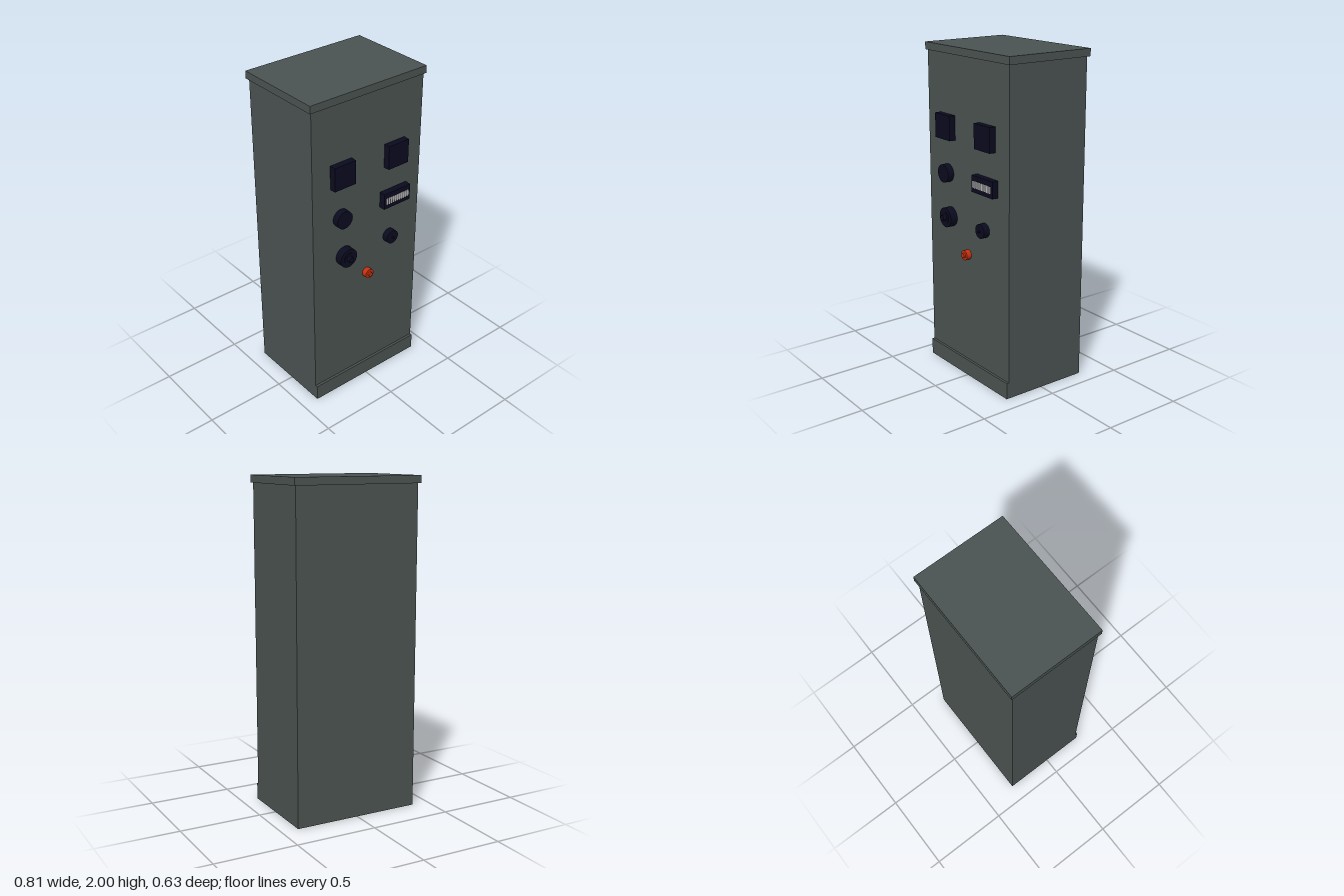
import * as THREE from 'three';

const material = (name, hex) => {
  const m = new THREE.MeshStandardMaterial({ color: hex });
  m.name = name;
  return m;
};

export function createModel() {
  const model = new THREE.Group();
  model.name = 'controlCabinet';
  const grey = material('cabinetGrey', 0x4b5452);
  const navy = material('instrumentNavy', 0x0b0b20);
  const red = material('buttonRed', 0xc9300e);
  const white = material('digitWhite', 0xe6e6e6);
  const FACE = 0.245; // front of the cabinet body

  // Box given by its limits on each axis
  const box = (name, mat, x0, x1, y0, y1, z0, z1) => {
    const mesh = new THREE.Mesh(new THREE.BoxGeometry(x1 - x0, y1 - y0, z1 - z0), mat);
    mesh.position.set((x0 + x1) / 2, (y0 + y1) / 2, (z0 + z1) / 2);
    mesh.name = name;
    model.add(mesh);
  };

  // Disc facing forward
  const disc = (name, mat, x, y, r, z0, z1) => {
    const geo = new THREE.CylinderGeometry(r, r, z1 - z0, 32).rotateX(Math.PI / 2);
    const mesh = new THREE.Mesh(geo, mat);
    mesh.position.set(x, y, (z0 + z1) / 2);
    mesh.name = name;
    model.add(mesh);
  };

  // Cabinet
  box('body', grey, -0.395, 0.395, 0, 1.955, -0.302, FACE);
  box('plinth', grey, -0.395, 0.395, 0, 0.1, FACE, 0.26);
  box('topCap', grey, -0.407, 0.407, 1.955, 2, -0.317, 0.255);

  // Square meters
  for (const x of [-0.196, 0.194]) {
    box('squareMeter', navy, x - 0.074, x + 0.074, 1.455, 1.602, FACE, 0.285);
  }

  // Counter with a row of white digit strips
  box('counterHousing', navy, 0.095, 0.293, 1.2, 1.3, FACE, 0.285);
  for (let i = 0; i < 11; i++) {
    const x = 0.115 + i * 0.0158;
    box('counterDigit', white, x - 0.005, x + 0.005, 1.228, 1.268, 0.285, 0.289);
  }

  // Round dials
  disc('roundMeter', navy, -0.197, 1.246, 0.055, FACE, 0.285);
  disc('largeDial', navy, -0.172, 0.98, 0.06, FACE, 0.291);
  disc('largeDialHub', navy, -0.172, 0.98, 0.035, 0.291, 0.295);
  disc('largeDialKnob', navy, -0.172, 0.98, 0.018, 0.295, 0.315);
  disc('smallDial', navy, 0.169, 0.98, 0.043, FACE, 0.284);
  disc('smallDialPin', navy, 0.17, 0.98, 0.006, 0.284, 0.297);

  // Stop button
  disc('stopButtonCollar', red, 0, 0.785, 0.03, FACE, 0.277);
  disc('stopButton', red, 0, 0.785, 0.014, 0.277, 0.288);

  return model;
}
